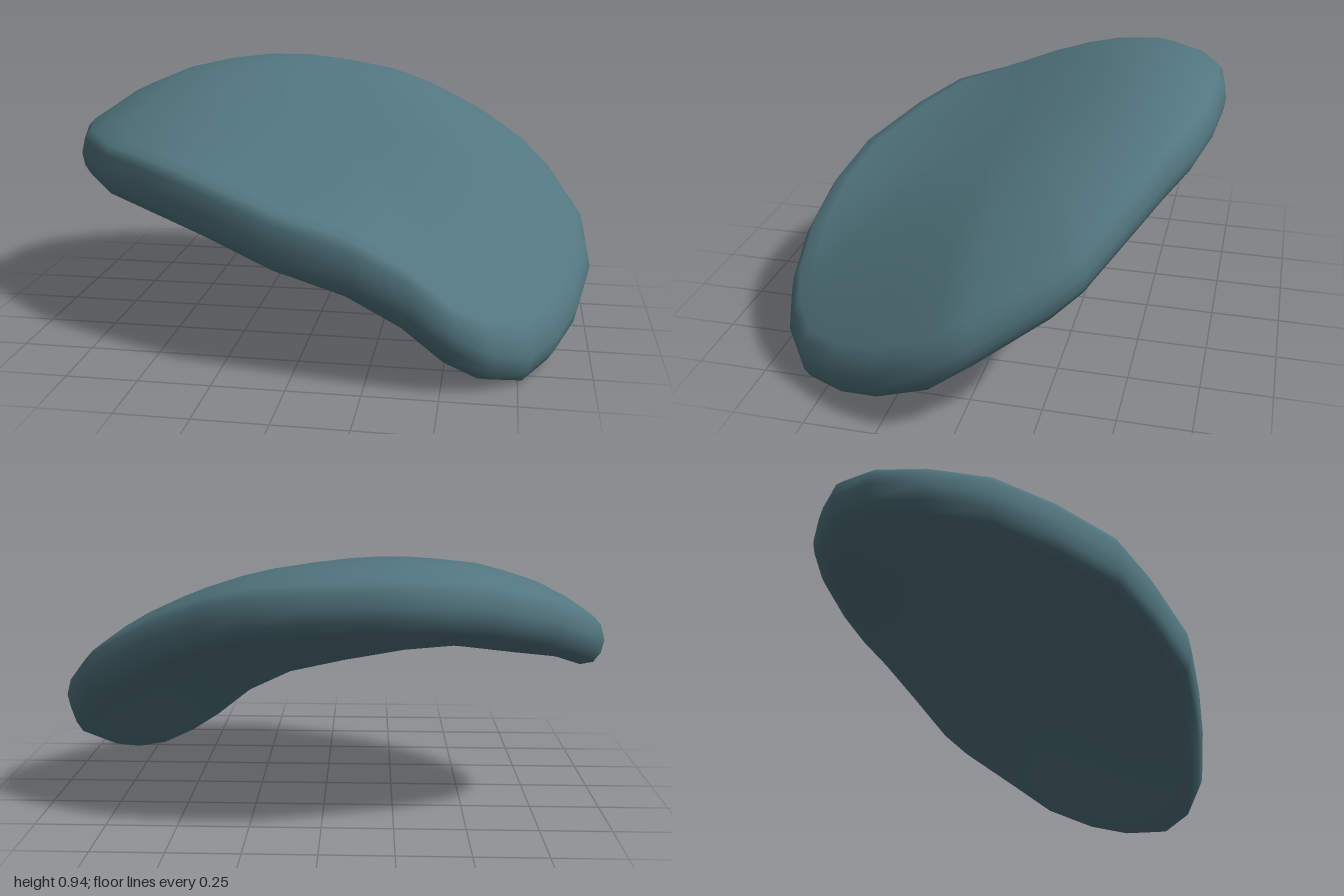
import * as THREE from 'three';
import { mergeVertices } from 'three/addons/utils/BufferGeometryUtils.js';

// Mid-thickness rim of the shell, [x, y, z], running left-back-right-front seen from above
const RIM = [
  [-1, 0.61, -0.2], [-0.94, 0.66, -0.39], [-0.78, 0.73, -0.54], [-0.57, 0.78, -0.64],
  [-0.38, 0.8, -0.71], [-0.18, 0.805, -0.73], [0.05, 0.79, -0.71], [0.24, 0.77, -0.67],
  [0.4, 0.73, -0.6], [0.6, 0.65, -0.5], [0.78, 0.55, -0.39], [0.86, 0.49, -0.3],
  [0.98, 0.36, -0.07], [1, 0.26, 0.08], [0.95, 0.17, 0.28], [0.88, 0.12, 0.44],
  [0.79, 0.1, 0.59], [0.67, 0.135, 0.68], [0.55, 0.2, 0.72], [0.4, 0.31, 0.72],
  [0.2, 0.4, 0.7], [-0.06, 0.46, 0.66], [-0.34, 0.53, 0.53], [-0.56, 0.57, 0.41],
  [-0.79, 0.58, 0.21], [-0.94, 0.6, 0.01],
];

const SEGMENTS = RIM.length;
const TOP_CENTRE = 0.78;
const BOTTOM_CENTRE = 0.57;

// Height along a spoke: a tilted plane that bends to the given height at its end
function spokeHeight(s, [x, , z], centre, end, power) {
  const tilt = -0.12 * x - 0.41 * z;
  return centre + s * tilt + s ** power * (end - centre - tilt);
}

// Rim thickness above and below its middle line
const above = ([, , z]) => 0.09 + 0.015 * z;
const below = ([, , z]) => 0.095 + 0.01 * z;

function shellGeometry() {
  const spread = [0, 0.2, 0.4, 0.55, 0.7, 0.82, 0.92, 1];

  // Each ring maps a rim point to [spoke scale, height], from top centre round to bottom centre
  const rings = [
    ...spread.map((s) => (p) => [0.955 * s, spokeHeight(s, p, TOP_CENTRE, p[1] + above(p), 3)]),
    (p) => [0.985, p[1] + 0.65 * above(p)],
    (p) => [1, p[1]],
    (p) => [0.99, p[1] - 0.5 * below(p)],
    (p) => [0.965, p[1] - 0.88 * below(p)],
    ...spread.toReversed().map((s) => (p) => [0.92 * s, spokeHeight(s, p, BOTTOM_CENTRE, p[1] - below(p), 2)]),
  ];

  const positions = [];
  const index = [];
  rings.forEach((ring, r) => {
    RIM.forEach((p, i) => {
      const [scale, y] = ring(p);
      positions.push(p[0] * scale, y, p[2] * scale);
      if (r === rings.length - 1) return;
      const a = r * SEGMENTS + i;
      const b = r * SEGMENTS + ((i + 1) % SEGMENTS);
      const c = a + SEGMENTS;
      const d = b + SEGMENTS;
      // The first and last rings are single points, so their bands are fans
      if (r > 0) index.push(a, b, d);
      if (r < rings.length - 2) index.push(a, d, c);
    });
  });

  const skin = new THREE.BufferGeometry();
  skin.setAttribute('position', new THREE.Float32BufferAttribute(positions, 3));
  skin.setIndex(index);
  const geometry = mergeVertices(skin, 1e-4);

  // Stand the shell on the ground
  geometry.computeBoundingBox();
  geometry.translate(0, -geometry.boundingBox.min.y, 0);
  geometry.computeVertexNormals();
  return geometry;
}

export function createModel() {
  const group = new THREE.Group();
  group.name = 'curvedShell';
  const shell = new THREE.Mesh(
    shellGeometry(),
    new THREE.MeshStandardMaterial({ color: 0x52767f })
  );
  shell.name = 'shell';
  group.add(shell);
  return group;
}
